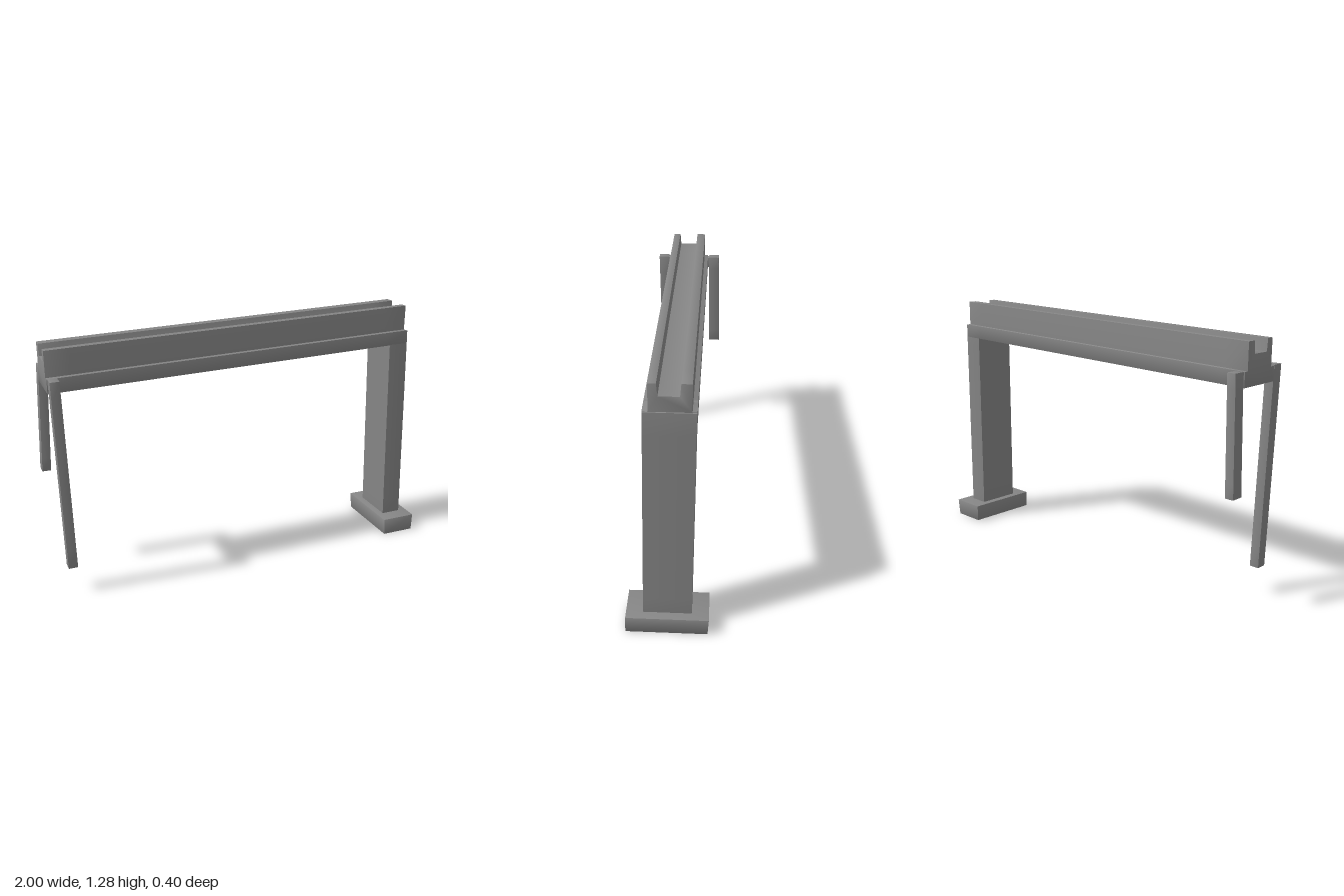
import * as THREE from 'three';
import { mergeVertices } from 'three/addons/utils/BufferGeometryUtils.js';

const material = new THREE.MeshStandardMaterial({ color: 0x868686 });

// Blend face normals with welded ones: visible corners with a soft gradient
function soften(geometry, softness) {
  geometry.deleteAttribute('normal');
  geometry.deleteAttribute('uv');
  const welded = mergeVertices(geometry, 1e-4);
  welded.computeVertexNormals();
  const result = welded.toNonIndexed();
  const smooth = result.attributes.normal.clone();
  result.computeVertexNormals();
  const normal = result.attributes.normal;
  const n = new THREE.Vector3();
  const s = new THREE.Vector3();
  for (let i = 0; i < normal.count; i++) {
    n.fromBufferAttribute(normal, i).lerp(s.fromBufferAttribute(smooth, i), softness).normalize();
    normal.setXYZ(i, n.x, n.y, n.z);
  }
  return result;
}

function addMesh(group, name, geometry, softness = 0.3) {
  const mesh = new THREE.Mesh(soften(geometry, softness), material);
  mesh.name = name;
  group.add(mesh);
}

// Leaning, tapering block between two rectangles given as [x0, x1, z0, z1, y]
function block(bottom, top, segments = 1) {
  const geometry = new THREE.BoxGeometry(1, 1, 1, 1, segments, 1);
  const p = geometry.attributes.position;
  const { lerp } = THREE.MathUtils;
  for (let i = 0; i < p.count; i++) {
    const t = p.getY(i) + 0.5;
    const [x0, x1, z0, z1, y] = bottom.map((b, k) => lerp(b, top[k], t));
    p.setXYZ(i, lerp(x0, x1, p.getX(i) + 0.5), y, lerp(z0, z1, p.getZ(i) + 0.5));
  }
  return geometry;
}

// Channelled beam: stepped cross-section (z, y) run along x with a slight rise
function beamGeometry() {
  const profile = [
    [0.105, 1.08], [-0.12, 1.08], [-0.12, 1.15], [-0.1, 1.15], [-0.1, 1.278], [-0.055, 1.278],
    [-0.05, 1.22], [0.04, 1.22], [0.045, 1.278], [0.08, 1.278], [0.08, 1.15], [0.105, 1.15],
  ];
  const shape = new THREE.Shape(profile.map(([z, y]) => new THREE.Vector2(-z, y)));
  const geometry = new THREE.ExtrudeGeometry(shape, { depth: 1.91, steps: 16, bevelEnabled: false });
  geometry.rotateY(Math.PI / 2).translate(-0.98, 0, 0);
  const p = geometry.attributes.position;
  for (let i = 0; i < p.count; i++) {
    p.setY(i, p.getY(i) - 0.0235 * (0.93 - p.getX(i)));
  }
  return geometry;
}

export function createModel() {
  const group = new THREE.Group();
  group.name = 'channelBeamOnLegs';

  addMesh(group, 'beam', beamGeometry());

  // Broad post, its top tucked just inside the beam's sides, and its foot
  addMesh(group, 'post', block([0.853, 0.957, -0.105, 0.12, 0.06], [0.831, 0.936, -0.119, 0.104, 1.148], 10), 0.1);
  addMesh(group, 'foot', block([0.82, 0.995, -0.18, 0.2, 0], [0.815, 1.0, -0.185, 0.198, 0.088]));

  // Long front leg and short back leg, each with a stub reaching the beam
  addMesh(group, 'frontLeg', block([-0.957, -0.911, 0.093, 0.145, 0.14], [-0.977, -0.932, 0.112, 0.167, 1.108], 10));
  addMesh(group, 'frontLegStub', block([-0.974, -0.936, 0.08, 0.15, 1.045], [-0.974, -0.936, 0.08, 0.15, 1.104]));
  addMesh(group, 'backLeg', block([-1.0, -0.957, -0.198, -0.137, 0.556], [-0.977, -0.934, -0.184, -0.127, 1.106], 8));
  addMesh(group, 'backLegStub', block([-0.974, -0.94, -0.16, -0.1, 1.045], [-0.974, -0.94, -0.16, -0.1, 1.102]));

  return group;
}
